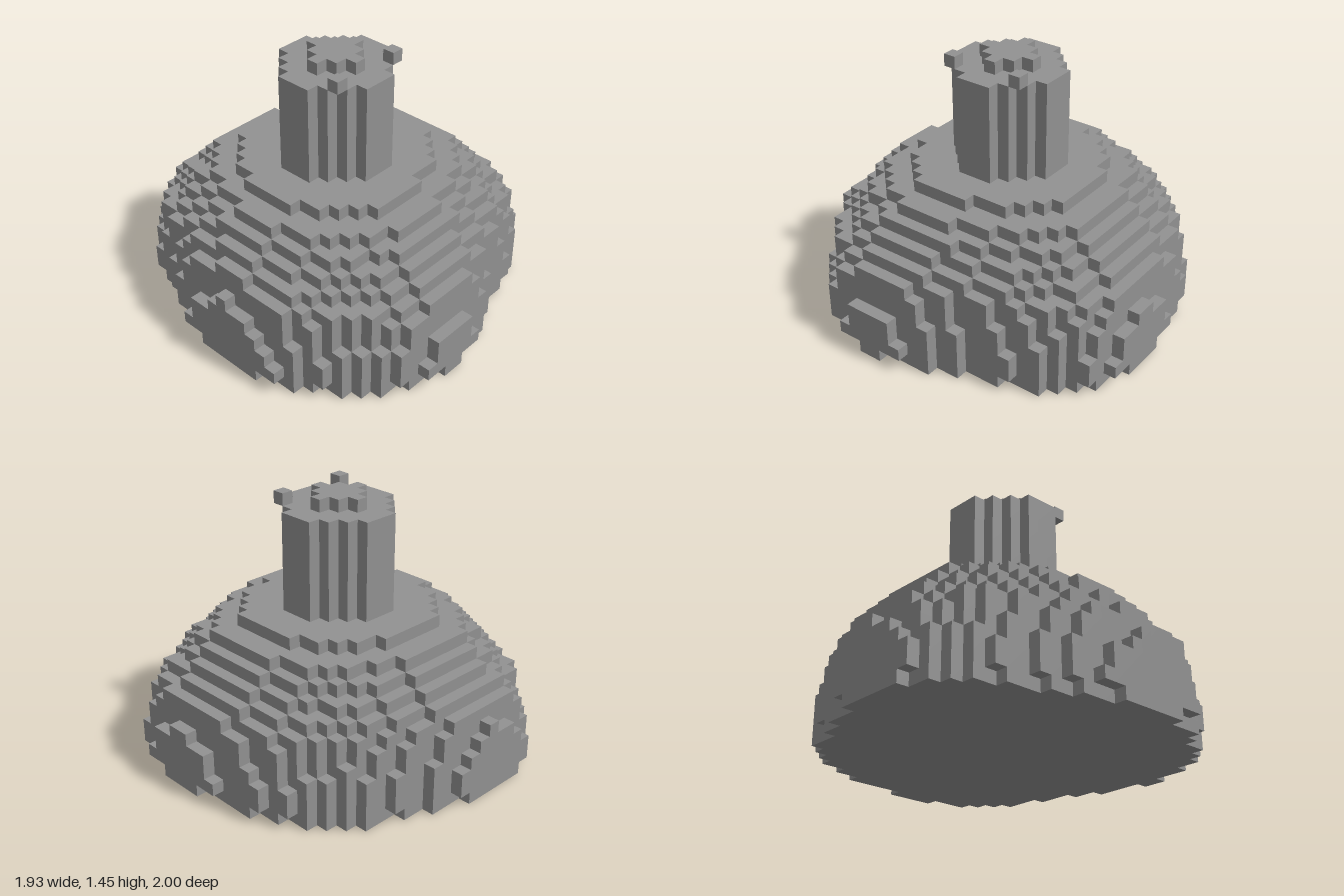
import * as THREE from 'three';
import { mergeGeometries } from 'three/addons/utils/BufferGeometryUtils.js';

const CELL = 2 / 29;        // edge of one cube
const CX = 13.5, CZ = 14.5; // axis of the dome and neck, in cells
const ROUND = 14;           // radius the outline relaxes to higher up

// Lumpy outline of the dome's widest layer, as [x, z] in cells
const OUTLINE = [
  [11, -0.2], [15, 0.5], [17, 1.5], [20, 2.5], [22, 3.5], [23, 4.5], [24.5, 6.2],
  [25.5, 7.2], [26.5, 9.2], [27.5, 13.2], [28, 17], [27.5, 20.8], [26.5, 22.8],
  [25.2, 23.5], [24, 24.5], [22, 25.5], [18, 26.5], [16, 27.5], [14, 28.5],
  [11, 28.8], [8, 28.5], [6, 27.5], [5, 26.5], [4, 25.5], [3, 24.5], [2.5, 23.8],
  [1.5, 21.8], [0.5, 20.8], [0, 16], [0.5, 11.2], [1.5, 9.2], [2.5, 7.2],
  [3.5, 4.2], [4, 3.5], [5, 2.5], [6, 1.5], [7, 0.5],
].map(([x, z]) => [x - CX, z - CZ]);

// Dome layers, bottom to top: [size, how far the outline is rounded]
const LAYERS = [
  [0.985, 0], [1, 0], [0.995, 0], [0.99, 0], [0.975, 0], [0.964, 0.1],
  [0.94, 0.25], [0.89, 0.5], [0.82, 0.5], [0.75, 0.5], [0.675, 0.5], [0.535, 0.5],
].map(([size, round]) => OUTLINE.map(([x, z]) => {
  const r = Math.hypot(x, z);
  const k = size * THREE.MathUtils.lerp(r, ROUND, round) / r;
  return [x * k, z * k];
}));

function insideOutline(outline, x, z) {
  let inside = false;
  outline.forEach(([ax, az], i) => {
    const [bx, bz] = outline[(i + 1) % outline.length];
    if ((az > z) !== (bz > z) && x < ax + ((z - az) / (bz - az)) * (bx - ax)) inside = !inside;
  });
  return inside;
}

// The six sides of a cube: direction and a plane turned to face it
const SIDES = [
  [1, 0, 0], [-1, 0, 0], [0, 1, 0], [0, -1, 0], [0, 0, 1], [0, 0, -1],
].map((d) => {
  const g = new THREE.PlaneGeometry(CELL, CELL);
  const n = new THREE.Vector3(...d);
  g.applyQuaternion(new THREE.Quaternion().setFromUnitVectors(new THREE.Vector3(0, 0, 1), n));
  g.translate(...n.multiplyScalar(CELL / 2).toArray());
  return { d, g };
});

// Cubes for every filled cell, keeping only the exposed faces
function voxelMesh(name, y0, y1, filled, material) {
  const has = (x, y, z) => y >= y0 && y < y1 && filled(x + 0.5 - CX, y, z + 0.5 - CZ);
  const faces = [];
  for (let y = y0; y < y1; y++)
    for (let x = 0; x < 28; x++)
      for (let z = 0; z < 29; z++) {
        if (!has(x, y, z)) continue;
        for (const { d, g } of SIDES) {
          if (has(x + d[0], y + d[1], z + d[2])) continue;
          faces.push(g.clone().translate((x + 0.5 - 14) * CELL, (y + 0.5) * CELL, (z + 0.5 - 14.5) * CELL));
        }
      }
  const mesh = new THREE.Mesh(mergeGeometries(faces), material);
  mesh.name = name;
  return mesh;
}

export function createModel() {
  const grey = new THREE.MeshStandardMaterial({ color: 0x929292 });
  grey.name = 'grey';

  const model = new THREE.Group();
  model.name = 'steppedDomeWithNeck';

  // Stepped dome
  model.add(voxelMesh('dome', 0, 12, (x, y, z) => insideOutline(LAYERS[y], x, z), grey));

  // Round neck
  model.add(voxelMesh('neck', 12, 20, (x, y, z) => x * x + z * z < 17.5, grey));

  // Small raised cap and two loose cubes at the front of the rim
  model.add(voxelMesh('cap', 20, 21,
    (x, y, z) => x * x + z * z < 4.5 || (Math.abs(x) === 3 && z === 3), grey));

  return model;
}
